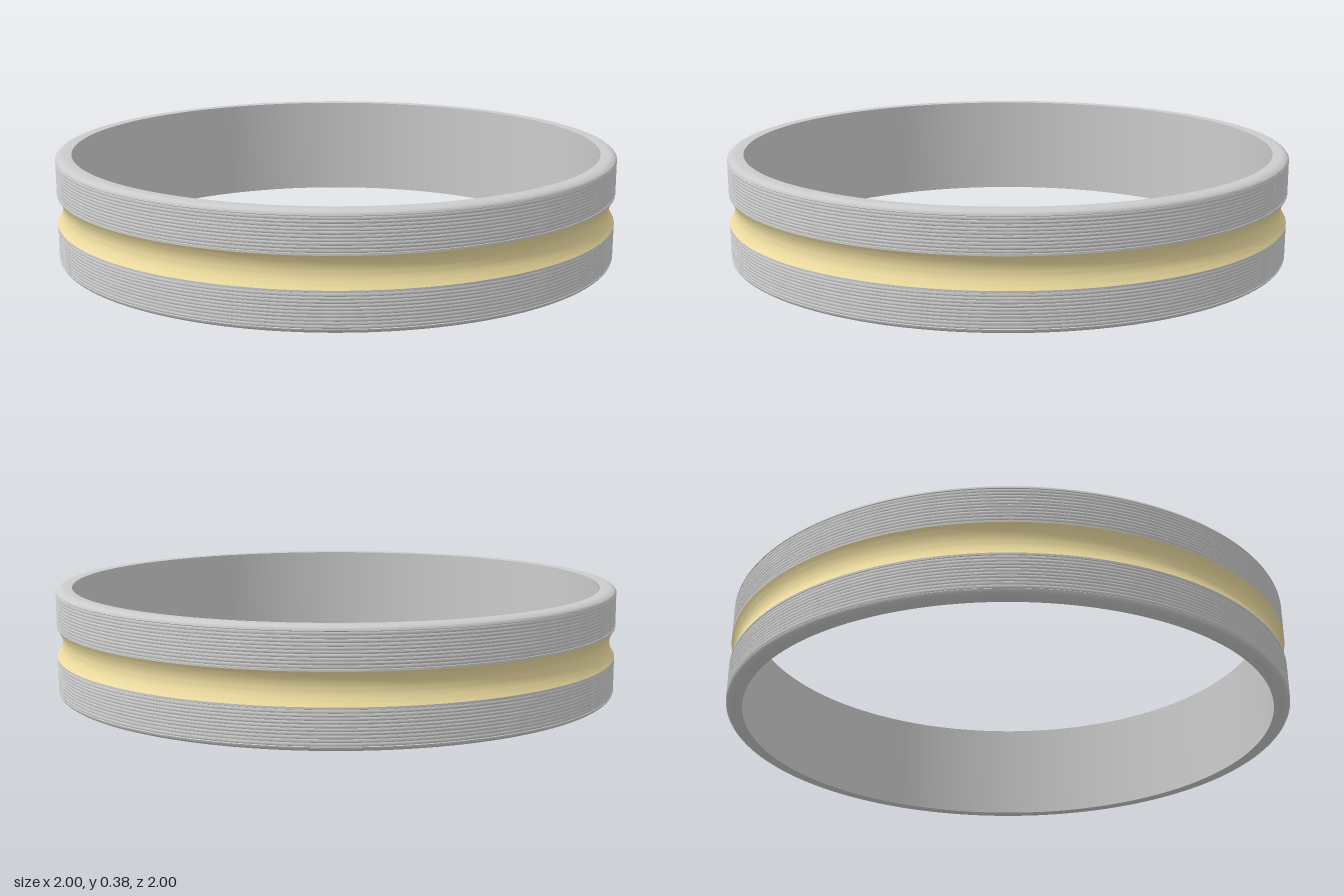
import * as THREE from 'three';
import { toCreasedNormals } from 'three/addons/utils/BufferGeometryUtils.js';

const SEGMENTS = 160;
const HEIGHT = 0.38, OUTER = 1, INNER = 0.943;
const MID = HEIGHT / 2, CHANNEL = 0.053; // half height of the coloured channel

function lathe(name, points, color) {
  const geometry = toCreasedNormals(new THREE.LatheGeometry(points, SEGMENTS), 0.5);
  const mesh = new THREE.Mesh(geometry, new THREE.MeshStandardMaterial({ color }));
  mesh.name = name;
  return mesh;
}

// Outer half profile, measured upward from the middle: beads, then domed rim
function halfProfile() {
  const beads = 10, pitch = 0.011, depth = 0.0022, start = CHANNEL + 0.008;
  const p = [[OUTER, CHANNEL], [OUTER, start - 0.001], [OUTER - depth, start]];
  for (let i = 0; i < beads; i++) {
    for (let k = 1; k <= 4; k++) {
      const t = k / 2 - 1;
      p.push([OUTER - depth * t * t, start + (i + k / 4) * pitch]);
    }
  }
  const rimWidth = 0.03, rimHeight = 0.017, top = HEIGHT / 2;
  for (let i = 0; i <= 8; i++) {
    const a = (i / 8) * Math.PI / 2;
    p.push([OUTER - rimWidth * (1 - Math.cos(a)), top - rimHeight * (1 - Math.sin(a))]);
  }
  p.push([INNER, top - 0.002]);
  return p;
}

export function createModel() {
  const ring = new THREE.Group();
  ring.name = 'ring';

  // Ribbed body: up the outside, over the rim, down the bore and back up below
  const half = halfProfile();
  const upper = half.map(([r, y]) => new THREE.Vector2(r, MID + y));
  const lower = half.map(([r, y]) => new THREE.Vector2(r, MID - y)).reverse();
  ring.add(lathe('ribbedBand', [...upper, ...lower], 0xf3f5f6));

  // Concave coloured channel around the middle
  const channel = [];
  for (let i = 0; i <= 14; i++) {
    const t = (i / 14) * 2 - 1;
    channel.push(new THREE.Vector2(OUTER - 0.019 * (1 - t * t), MID + CHANNEL * t));
  }
  ring.add(lathe('goldChannel', channel, 0xf0dfa2));

  return ring;
}
